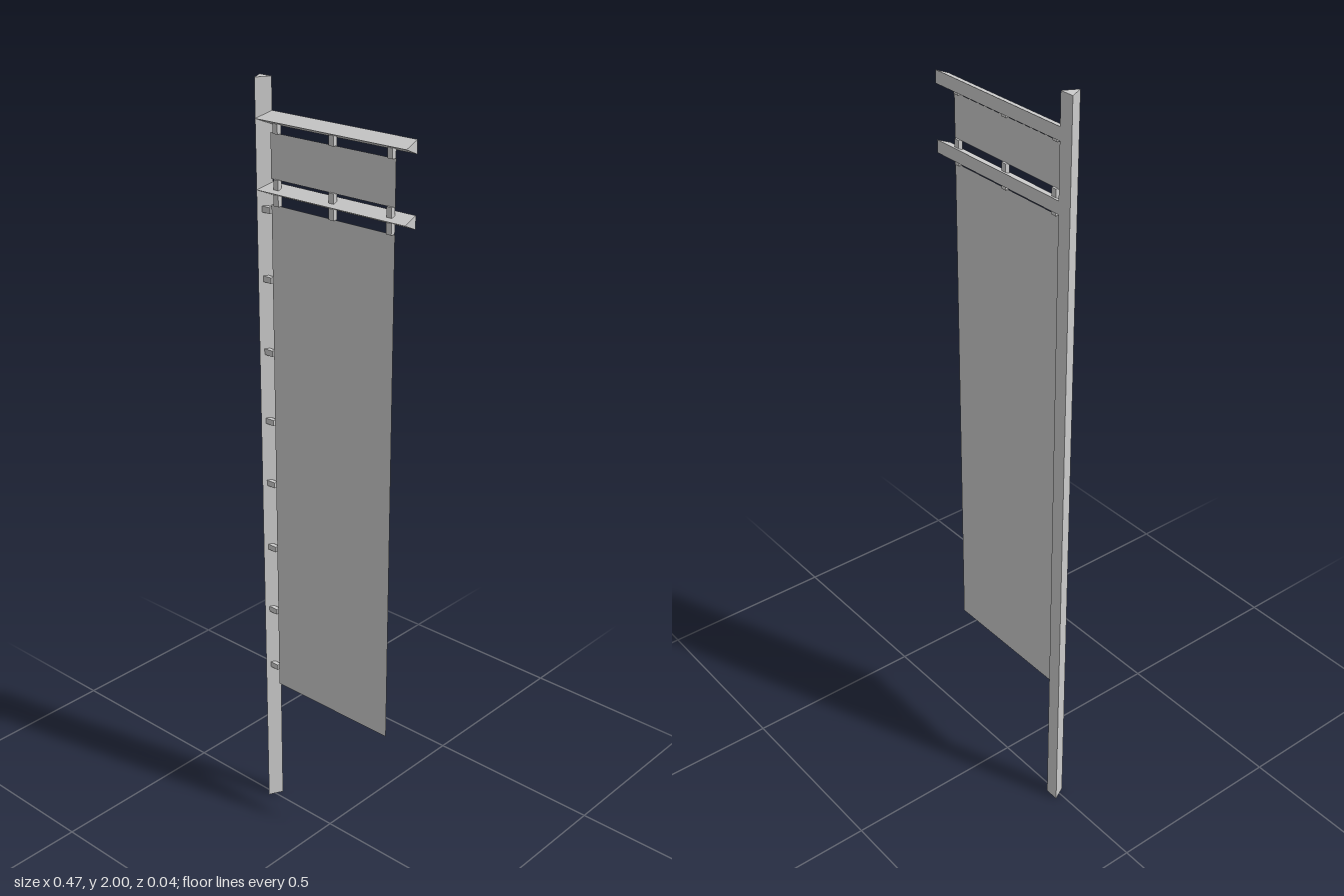
import * as THREE from 'three';

export function createModel() {
  const group = new THREE.Group();
  const solid = new THREE.MeshStandardMaterial({ color: 0xcccccc, flatShading: true });
  const sheet = new THREE.MeshStandardMaterial({ color: 0xcccccc, side: THREE.DoubleSide });

  const add = (name, geometry, material = solid) => {
    const mesh = new THREE.Mesh(geometry, material);
    mesh.name = name;
    group.add(mesh);
    return mesh;
  };

  // Three-sided bar running along +z before it is turned into place
  const bar = (points, length) => new THREE.ExtrudeGeometry(
    new THREE.Shape(points.map(([x, y]) => new THREE.Vector2(x, y))),
    { depth: length, bevelEnabled: false });

  // Upright pole, with one edge facing the front
  const pole = bar([[-0.236, 0.02], [-0.217, -0.017], [-0.198, 0.02]], 2);
  pole.rotateX(-Math.PI / 2);
  add('pole', pole);

  // Crossbars, edge to the front and flat at the back
  const beamHeights = [1.906, 1.739];
  for (const y of beamHeights) {
    const beam = bar([[0.02, -0.016], [0.02, 0.016], [-0.017, 0]], 0.452);
    beam.rotateY(Math.PI / 2);
    add('crossbar', beam).position.set(-0.217, y, 0);
  }

  // Thin hanging panels
  const panel = (name, bottom, top) =>
    add(name, new THREE.PlaneGeometry(0.378, top - bottom), sheet)
      .position.set(0.004, (top + bottom) / 2, 0);
  panel('upperPanel', 1.768, 1.877);
  panel('lowerPanel', 0.377, 1.707);

  // Short hangers between the crossbars and the panels
  const hangerSpans = [[1.876, 1.9], [1.745, 1.769], [1.706, 1.733]];
  for (const [bottom, top] of hangerSpans) {
    for (const x of [-0.165, 0.008, 0.18]) {
      add('hanger', new THREE.BoxGeometry(0.015, top - bottom, 0.012))
        .position.set(x, (top + bottom) / 2, 0);
    }
  }

  // Side ties from the pole to the lower panel
  for (const y of [1.692, 1.52, 1.333, 1.148, 0.975, 0.79, 0.603, 0.43]) {
    add('sideTie', new THREE.BoxGeometry(0.027, 0.015, 0.012)).position.set(-0.1985, y, 0);
  }

  return group;
}
